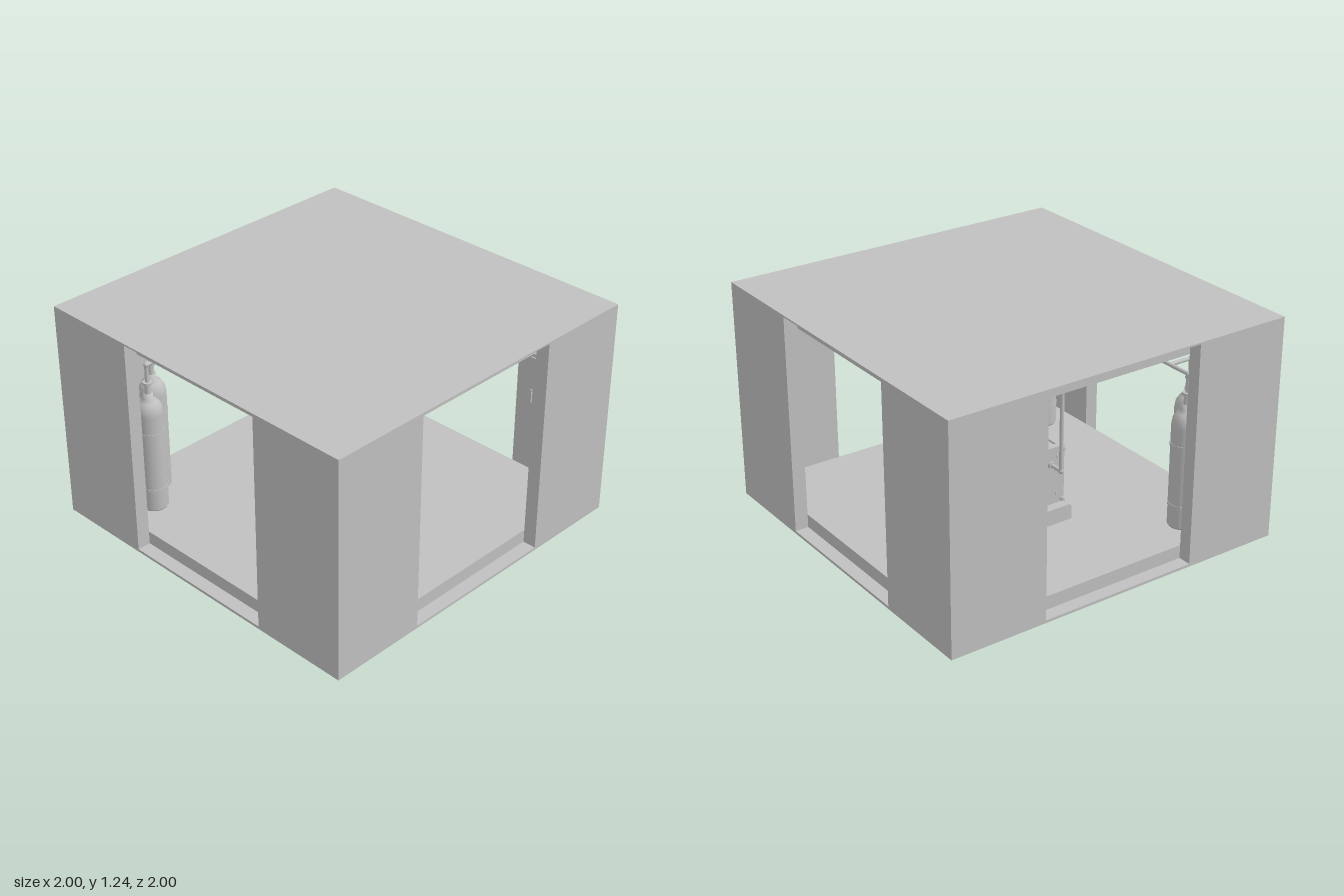
import * as THREE from 'three';

const grey = new THREE.MeshStandardMaterial({ color: 0xc0c0c0 });
grey.name = 'plain grey';

function add(parent, name, geometry, x = 0, y = 0, z = 0) {
  const mesh = new THREE.Mesh(geometry, grey);
  mesh.name = name;
  mesh.position.set(x, y, z);
  parent.add(mesh);
  return mesh;
}

// Box given by its limits on each axis
function box(parent, name, x0, x1, y0, y1, z0, z1) {
  return add(parent, name, new THREE.BoxGeometry(x1 - x0, y1 - y0, z1 - z0),
    (x0 + x1) / 2, (y0 + y1) / 2, (z0 + z1) / 2);
}

// Round bar between two points
function rod(parent, name, a, b, r, sides = 16) {
  const p = new THREE.Vector3(...a), q = new THREE.Vector3(...b);
  const mesh = add(parent, name, new THREE.CylinderGeometry(r, r, p.distanceTo(q), sides));
  mesh.position.copy(p).add(q).multiplyScalar(0.5);
  mesh.quaternion.setFromUnitVectors(new THREE.Vector3(0, 1, 0), q.sub(p).normalize());
  return mesh;
}

// Pipe run with a round joint at every bend
function pipe(parent, name, points, r = 0.011) {
  const run = new THREE.Group();
  run.name = name;
  parent.add(run);
  points.forEach((p, i) => {
    if (i > 0) rod(run, 'pipeLength', points[i - 1], p, r);
    if (i > 0 && i < points.length - 1) add(run, 'elbow', new THREE.SphereGeometry(r * 1.3, 16, 10), ...p);
  });
  return run;
}

// Room shell: stepped floor and ceiling, four L-shaped corners
function buildRoom() {
  const room = new THREE.Group();
  room.name = 'room';
  const inner = 0.925, jamb = 0.453;
  box(room, 'basePlate', -1, 1, 0, 0.015, -1, 1);
  box(room, 'floor', -inner, inner, 0.015, 0.09, -inner, inner);
  box(room, 'ceiling', -inner, inner, 1.15, 1.228, -inner, inner);
  box(room, 'roofPlate', -1, 1, 1.228, 1.237, -1, 1);
  const shape = new THREE.Shape([
    [jamb, 1], [jamb, inner], [inner, inner], [inner, jamb], [1, jamb], [1, 1],
  ].map(([x, y]) => new THREE.Vector2(x, y)));
  const corner = new THREE.ExtrudeGeometry(shape, { depth: 1.213, bevelEnabled: false });
  corner.rotateX(-Math.PI / 2);
  for (let i = 0; i < 4; i++) {
    add(room, 'cornerWall', corner, 0, 0.015, 0).rotation.y = i * Math.PI / 2;
  }
  return room;
}

// Flat ceiling lamp: raised rim around a thin lens
function buildLamp() {
  const lamp = new THREE.Group();
  lamp.name = 'ceilingLamp';
  box(lamp, 'lampLens', -0.12, 0.12, 1.141, 1.15, -0.06, 0.06);
  for (const s of [-1, 1]) {
    box(lamp, 'lampRimLong', -0.13, 0.13, 1.133, 1.15, s * 0.063 - 0.007, s * 0.063 + 0.007);
    box(lamp, 'lampRimShort', s * 0.123 - 0.007, s * 0.123 + 0.007, 1.133, 1.15, -0.056, 0.056);
  }
  return lamp;
}

// Gas cylinder standing on the floor
function buildTank() {
  const tank = new THREE.Group();
  tank.name = 'gasTank';
  const profile = [[0, 0], [0.066, 0], [0.074, 0.012], [0.074, 0.575], [0.068, 0.615],
    [0.05, 0.645], [0.026, 0.66], [0.026, 0.69], [0, 0.69]];
  add(tank, 'tankBody', new THREE.LatheGeometry(
    profile.map(([x, y]) => new THREE.Vector2(x, y)), 32), 0, 0.09, 0);
  for (const y of [0.22, 0.56]) {
    add(tank, 'tankBand', new THREE.CylinderGeometry(0.077, 0.077, 0.018, 32), 0, y, 0);
  }
  add(tank, 'valveBody', new THREE.CylinderGeometry(0.015, 0.018, 0.07, 16), 0, 0.81, 0);
  add(tank, 'valveWheel', new THREE.CylinderGeometry(0.026, 0.026, 0.012, 16), 0, 0.84, 0);
  return tank;
}

// Plate stack clamped between two end plates, on a plinth
function buildStack() {
  const stack = new THREE.Group();
  stack.name = 'plateStack';
  const plinth = new THREE.Shape([
    [-0.175, 0.09], [0.175, 0.09], [0.175, 0.165], [0.162, 0.178], [-0.162, 0.178], [-0.175, 0.165],
  ].map(([x, y]) => new THREE.Vector2(x, y)));
  const plinthGeometry = new THREE.ExtrudeGeometry(plinth, { depth: 0.765, bevelEnabled: false });
  plinthGeometry.translate(0, 0, -0.3825).rotateY(Math.PI / 2);
  add(stack, 'plinth', plinthGeometry);
  box(stack, 'plinthKnob', -0.03, 0.03, 0.11, 0.135, -0.184, -0.17);

  // Alternating tall and short cells
  const count = 31, pitch = 0.592 / count;
  for (let i = 0; i < count; i++) {
    const x = -0.298 + i * pitch, s = i % 2 ? 0.008 : 0;
    box(stack, 'cellPlate', x, x + pitch, 0.205 + s, 0.478 - s, -0.137 + s, 0.137 - s);
  }
  for (const s of [-1, 1]) {
    box(stack, 'endPlate', s * 0.312 - 0.016, s * 0.312 + 0.016, 0.178, 0.503, -0.163, 0.163);
    for (const z of [-0.118, 0.118]) for (const y of [0.235, 0.447]) {
      rod(stack, 'endPlatePort', [s * 0.325, y, z], [s * 0.334, y, z], 0.01);
    }
  }
  // Tie rods with nuts
  for (const y of [0.195, 0.488]) for (const z of [-0.148, 0.148]) {
    rod(stack, 'tieRod', [-0.352, y, z], [0.345, y, z], 0.007);
    for (const s of [-1, 1]) rod(stack, 'nut', [s * 0.328, y, z], [s * 0.342, y, z], 0.012, 6);
  }
  // Junction block and its two conduits to the ceiling
  box(stack, 'junctionBlock', -0.105, 0.105, 0.47, 0.53, -0.073, 0.073);
  for (const s of [-1, 1]) {
    rod(stack, 'conduit', [s * 0.054, 0.52, 0], [s * 0.054, 1.15, 0], 0.014);
    rod(stack, 'conduitCollar', [s * 0.054, 1.13, 0], [s * 0.054, 1.15, 0], 0.022);
  }
  return stack;
}

export function createModel() {
  const model = new THREE.Group();
  model.name = 'machineRoom';
  model.add(buildRoom(), buildStack());

  for (let i = 0; i < 4; i++) {
    const pivot = new THREE.Group();
    pivot.name = 'lampMount';
    const lamp = buildLamp();
    lamp.position.z = 0.62;
    pivot.add(lamp);
    pivot.rotation.y = i * Math.PI / 2;
    model.add(pivot);
  }

  // Two tanks and one feed line on each side
  for (const s of [-1, 1]) {
    for (const [x, z] of [[0.76, 0.6], [0.62, 0.74]]) {
      const tank = buildTank();
      tank.position.set(s * x, 0, z);
      model.add(tank);
    }
    pipe(model, 'feedPipe', [[s * 0.32, 0.41, 0.078], [s * 0.413, 0.41, 0.078], [s * 0.413, 0.945, 0.078],
      [s * 0.413, 0.945, 0.6], [s * 0.76, 0.945, 0.6], [s * 0.76, 0.82, 0.6]]);
    pipe(model, 'feedBranch', [[s * 0.62, 0.945, 0.6], [s * 0.62, 0.945, 0.74], [s * 0.62, 0.82, 0.74]]);
    rod(model, 'feedFlange', [s * 0.327, 0.41, 0.078], [s * 0.342, 0.41, 0.078], 0.019);
    rod(model, 'pipeHanger', [s * 0.413, 0.945, 0.413], [s * 0.413, 1.15, 0.413], 0.004, 8);
  }
  add(model, 'feedValve', new THREE.CylinderGeometry(0.014, 0.014, 0.03, 12), 0.413, 0.575, 0.078);

  // Outlet line running to the back wall
  pipe(model, 'outletPipe', [[-0.32, 0.25, -0.075], [-0.458, 0.25, -0.075], [-0.458, 0.9, -0.075],
    [-0.458, 0.9, -0.925]]);
  rod(model, 'outletFlange', [-0.327, 0.25, -0.075], [-0.342, 0.25, -0.075], 0.019);
  rod(model, 'wallFlange', [-0.458, 0.9, -0.91], [-0.458, 0.9, -0.925], 0.025);
  rod(model, 'pipeHanger', [-0.458, 0.9, -0.41], [-0.458, 1.15, -0.41], 0.004, 8);

  // Control cabinet on the back wall
  const cabinet = new THREE.Group();
  cabinet.name = 'controlCabinet';
  box(cabinet, 'cabinetBody', 0.55, 0.85, 0.33, 0.83, -0.925, -0.885);
  box(cabinet, 'cabinetDoor', 0.57, 0.83, 0.35, 0.81, -0.885, -0.877);
  box(cabinet, 'cabinetHandle', 0.585, 0.595, 0.54, 0.62, -0.877, -0.867);
  model.add(cabinet);
  return model;
}
